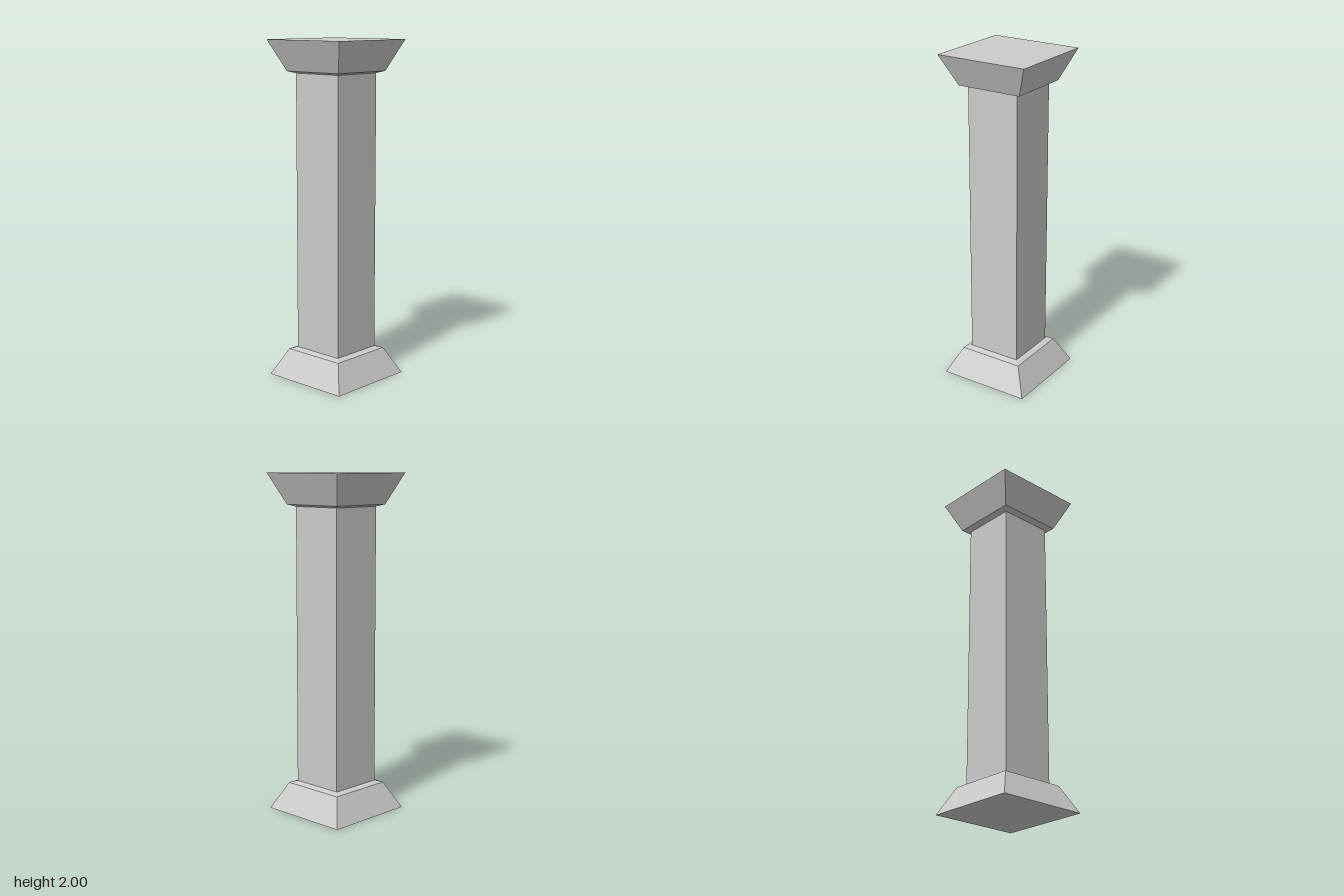
import * as THREE from 'three';

const stone = new THREE.MeshStandardMaterial({ color: 0xcccccc, flatShading: true });

// Square-section solid turned from [half width, height] pairs, listed bottom to top
function squareTurned(name, profile) {
  const points = profile.map(([half, y]) => new THREE.Vector2(half * Math.SQRT2, y));
  const geometry = new THREE.LatheGeometry(points, 4, Math.PI / 4).toNonIndexed();
  geometry.computeVertexNormals();
  const mesh = new THREE.Mesh(geometry, stone);
  mesh.name = name;
  return mesh;
}

export function createModel() {
  const SHAFT = 0.163, NECK = 0.2, FLARE = 0.281;
  const pillar = new THREE.Group();
  pillar.name = 'pillar';

  // Flared foot with a shallow sloping ledge up to the shaft
  pillar.add(squareTurned('base', [[0, 0], [FLARE, 0], [NECK, 0.158], [SHAFT, 0.17]]));

  // Plain square shaft, open where it meets the base and capital
  pillar.add(squareTurned('shaft', [[SHAFT, 0.17], [SHAFT, 1.808]]));

  // Flared head with a matching ledge underneath
  pillar.add(squareTurned('capital', [[SHAFT, 1.808], [NECK, 1.82], [FLARE, 2], [0, 2]]));

  return pillar;
}
